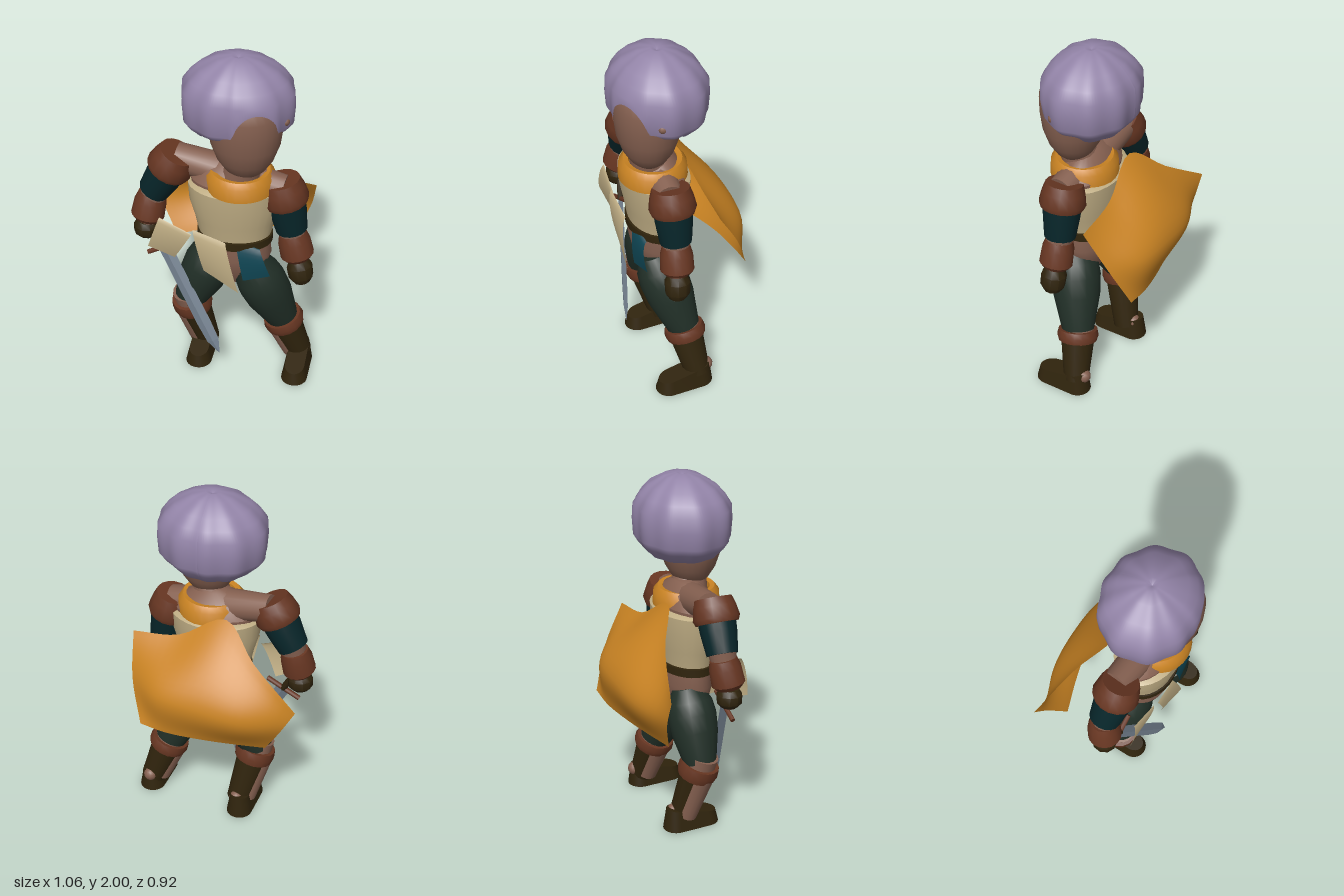
import * as THREE from 'three';
import { toCreasedNormals } from 'three/addons/utils/BufferGeometryUtils.js';

const mat = (name, color, side = THREE.FrontSide) => {
  const m = new THREE.MeshStandardMaterial({ color, side });
  m.name = name;
  return m;
};
const V = (p) => new THREE.Vector3(p[0], p[1], p[2]);

export function createModel() {
  const root = new THREE.Group();
  root.name = 'adventurer';
  const D = THREE.DoubleSide;
  const hairMat = mat('lilac hair', 0x9384a8, D), skin = mat('skin', 0x856050);
  const orange = mat('orange cloth', 0xc98323, D), cream = mat('cream cloth', 0xbfad84, D);
  const leather = mat('rust leather', 0x673622), boot = mat('dark boot leather', 0x30240d);
  const green = mat('green trousers', 0x212f27), sleeve = mat('dark teal sleeve', 0x072529);
  const tealCloth = mat('teal cloth', 0x0f4553, D), steel = mat('steel', 0x74818f);

  const add = (name, geometry, material, parent = root) => {
    const m = new THREE.Mesh(geometry, material);
    m.name = name;
    parent.add(m);
    return m;
  };
  // Turned shape from [radius, height] points, bottom to top
  const turned = (profile, seg = 20, crease = 0.7) =>
    toCreasedNormals(new THREE.LatheGeometry(profile.map((p) => new THREE.Vector2(p[0], p[1])), seg), crease);
  // Turned limb from a to b; profile heights run 0..1 along the axis
  const limb = (name, material, a, b, profile, seg = 16) => {
    const A = V(a), d = V(b).sub(A), len = d.length();
    const m = add(name, turned(profile.map(([r, t]) => [r, t * len]), seg), material);
    m.position.copy(A);
    m.quaternion.setFromUnitVectors(new THREE.Vector3(0, 1, 0), d.normalize());
    return m;
  };
  const rod = (r0, r1, mid = (r0 + r1) / 2) => [[0, 0], [r0, 0], [mid, 0.5], [r1, 1], [0, 1]];
  // Cloth surface through rows of points, optionally bulged outward
  const cloth = (name, material, rows, n = 12, bulge = 0) => {
    const curves = rows.map((r) => new THREE.CatmullRomCurve3(r.map(V)));
    const a = V(rows[0][0]), c = V(rows.at(-1)[0]).sub(a), normal = V(rows[0].at(-1)).sub(a).cross(c).normalize().negate();
    const pos = [], idx = [];
    for (let i = 0; i <= n; i++) {
      const column = new THREE.CatmullRomCurve3(curves.map((k) => k.getPoint(i / n)));
      for (let j = 0; j <= n; j++) {
        const p = column.getPoint(j / n).addScaledVector(normal, bulge * Math.sin(Math.PI * j / n));
        pos.push(p.x, p.y, p.z);
        if (i < n && j < n) {
          const k = i * (n + 1) + j;
          idx.push(k, k + 1, k + n + 1, k + 1, k + n + 2, k + n + 1);
        }
      }
    }
    const g = new THREE.BufferGeometry();
    g.setAttribute('position', new THREE.Float32BufferAttribute(pos, 3));
    g.setIndex(idx);
    g.computeVertexNormals();
    return add(name, g, material);
  };

  // Head
  const head = add('head', turned([[0, 1.365], [0.075, 1.37], [0.105, 1.4], [0.142, 1.46], [0.172, 1.55], [0.184, 1.65],
    [0.185, 1.74], [0.165, 1.82], [0.1, 1.88], [0, 1.9]], 28, 1), skin);
  head.position.set(0.235, 0, 0.04);
  head.rotation.y = Math.PI / 4;
  head.scale.set(1.05, 1, 0.94);
  limb('neck', skin, [0.18, 1.26, 0.04], [0.23, 1.42, 0.04], rod(0.12, 0.09));

  // Scalloped hair cap, slightly wider than deep, its rim arched over the face
  const hp = [[0.02, 1.55], [0.11, 1.555], [0.19, 1.565], [0.24, 1.62], [0.266, 1.66], [0.272, 1.75], [0.267, 1.83],
    [0.232, 1.885], [0.185, 1.935], [0.1, 1.985], [0.035, 2], [0, 1.985]];
  const radiusAt = (y) => {
    const i = hp.findIndex((p) => p[1] > y), [r0, y0] = hp[i - 1], [r1, y1] = hp[i];
    return r0 + (r1 - r0) * (y - y0) / (y1 - y0);
  };
  const hairGeo = new THREE.LatheGeometry(hp.map((p) => new THREE.Vector2(p[0], p[1])), 120, -2.36);
  const hpos = hairGeo.attributes.position;
  for (let i = 0; i < hpos.count; i++) {
    let y = hpos.getY(i), r = Math.hypot(hpos.getX(i), hpos.getZ(i));
    const a = Math.atan2(hpos.getZ(i), hpos.getX(i));
    const open = Math.sqrt(Math.max(0, 1 - ((a - 0.29) / 0.48) ** 2));
    const lift = 1.55 + 0.075 * THREE.MathUtils.smoothstep(Math.cos(a - 0.4), -0.1, 0.6);
    y = Math.max(y, lift);
    const rim = lift + 0.168 * open;
    if (y < rim) { y = rim; r = radiusAt(rim); }
    r *= (1 + 0.022 * Math.cos(10 * a) * (1 - open)) * (1 - 0.075 * Math.cos(2 * a - Math.PI / 2));
    hpos.setXYZ(i, r * Math.cos(a), y, r * Math.sin(a));
  }
  hairGeo.computeVertexNormals();
  add('hair', hairGeo, hairMat).position.set(0.145, 0, 0.02);
  // Patch of skin showing through the hair beside the face
  const patch = add('brow', new THREE.SphereGeometry(0.026, 10, 8), skin);
  patch.position.set(0.383, 1.695, -0.095);

  // Torso, turned halfway to its left
  const torso = new THREE.Group();
  torso.name = 'torso';
  torso.position.set(0.15, 0, 0.04);
  torso.rotation.y = Math.PI / 4;
  root.add(torso);
  const band = (name, material, profile, depth) => {
    const m = add(name, turned(profile, 28), material, torso);
    m.scale.z = depth;
    return m;
  };
  band('chest', skin, [[0, 1.15], [0.23, 1.2], [0.235, 1.28], [0.18, 1.35], [0.09, 1.4], [0, 1.41]], 0.6);
  band('vest', cream, [[0.17, 0.94], [0.197, 0.95], [0.215, 1.04], [0.245, 1.15], [0.252, 1.25], [0.22, 1.265], [0, 1.265]], 0.7);
  band('hips', skin, [[0, 0.61], [0.08, 0.62], [0.17, 0.72], [0.2, 0.82], [0.185, 0.95], [0, 0.97]], 0.66);
  band('belt', boot, [[0.18, 0.9], [0.205, 0.9], [0.205, 0.945], [0.18, 0.945]], 0.72);
  const collar = band('collar', orange, [[0.15, 1.245], [0.187, 1.255], [0.182, 1.33], [0.157, 1.36], [0.13, 1.355], [0.12, 1.29]], 0.98);
  collar.position.set(0.03, 0, 0.02);
  limb('shoulders', skin, [-0.1, 1.36, 0.24], [0.36, 1.26, -0.12], rod(0.075, 0.075, 0.09));

  // Arms: pad top, shoulder, elbow, wrist, hand
  const arms = [
    ['right', [-0.07, 1.4, 0.25], [-0.085, 1.35, 0.265], [-0.19, 1.12, 0.34], [-0.195, 0.95, 0.38], [-0.2, 0.85, 0.38]],
    ['left', [0.337, 1.305, -0.118], [0.35, 1.25, -0.13], [0.385, 0.98, -0.165], [0.42, 0.81, -0.185], [0.445, 0.67, -0.195]],
  ];
  for (const [side, top, sh, el, wr, hand] of arms) {
    const padEnd = V(sh).lerp(V(el), 0.3).toArray();
    limb(side + 'ShoulderPad', leather, top, padEnd, [[0, 0], [0.1, 0], [0.115, 0.35], [0.126, 0.8], [0.115, 1], [0, 1]]);
    limb(side + 'Sleeve', sleeve, sh, V(sh).lerp(V(el), 0.93).toArray(), rod(0.105, 0.085, 0.1));
    limb(side + 'Elbow', skin, V(sh).lerp(V(el), 0.85).toArray(), wr, rod(0.075, 0.055));
    limb(side + 'Bracer', leather, V(el).lerp(V(wr), 0.02).toArray(), V(el).lerp(V(wr), 0.95).toArray(),
      [[0, 0], [0.073, 0], [0.087, 0.3], [0.091, 0.85], [0.07, 1], [0, 1]]);
    limb(side + 'Hand', boot, wr, hand, [[0, 0], [0.05, 0], [0.07, 0.3], [0.068, 0.75], [0.045, 1], [0, 1]], 10);
    const tip = V(hand).sub(V(wr)).setLength(0.006).add(V(hand)).toArray();
    limb(side + 'Fingers', skin, hand, tip, rod(0.04, 0.036), 10);
  }

  // Legs: hip, knee, ankle, foot centre
  const legs = [
    ['right', [0.05, 0.8, 0.08], [-0.065, 0.41, 0.19], [-0.06, 0.06, 0.08], [-0.04, 0, 0.13]],
    ['left', [0.255, 0.77, 0.01], [0.3, 0.34, -0.18], [0.345, 0.06, -0.28], [0.4, 0, -0.22]],
  ];
  for (const [side, hip, knee, ankle, foot] of legs) {
    limb(side + 'Thigh', green, hip, knee, [[0, 0], [0.085, 0], [0.125, 0.18], [0.136, 0.35], [0.13, 0.58], [0.09, 1], [0, 1]], 20);
    const dir = V(ankle).sub(V(knee));
    const along = (t) => V(knee).addScaledVector(dir, t).toArray();
    limb(side + 'KneeSkin', skin, along(-0.15), along(0.2), rod(0.088, 0.09));
    limb(side + 'KneeCuff', leather, along(0), along(0.22), [[0.08, 0], [0.108, 0], [0.116, 0.5], [0.106, 1], [0.08, 1], [0.08, 0]]);
    limb(side + 'BootShaft', boot, along(0.12), ankle, rod(0.096, 0.07));
    const shift = (p) => [p[0] - 0.018, p[1], p[2] + 0.03];
    limb(side + 'Shin', skin, shift(along(0.12)), shift(along(0.95)), rod(0.078, 0.058));
    const heel = add(side + 'Ankle', new THREE.SphereGeometry(0.04, 12, 8), skin);
    heel.position.set(ankle[0] - 0.035, 0.1, ankle[2] - 0.035);

    // Rounded sole that slopes down to the toe
    const s = new THREE.Shape();
    s.absarc(0, 0.092, 0.073, 0, Math.PI);
    s.absarc(0, -0.092, 0.073, Math.PI, Math.PI * 2);
    const g = new THREE.ExtrudeGeometry(s, { depth: 0.13, bevelEnabled: false, curveSegments: 8 });
    g.rotateX(-Math.PI / 2);
    const p = g.attributes.position;
    for (let i = 0; i < p.count; i++) {
      if (p.getY(i) > 0.01) p.setXYZ(i, p.getX(i) * 0.75, 0.13 - 0.18 * (p.getZ(i) + 0.165), p.getZ(i) * 0.9);
    }
    const f = add(side + 'Foot', toCreasedNormals(g, 0.7), boot);
    f.position.set(...foot);
    f.rotation.y = Math.PI / 4 - 0.05;
  }

  // Hanging cloth flaps
  cloth('sideFlap', cream, [[[-0.04, 1.06, 0.4], [0.1, 0.985, 0.29]], [[-0.08, 0.87, 0.45], [0.01, 0.8, 0.34]]], 8, 0.015);
  cloth('frontFlap', cream, [[[0.12, 1.03, 0.295], [0.24, 0.96, 0.17]], [[0.16, 0.765, 0.255], [0.31, 0.65, 0.135]]], 8, 0.02);
  cloth('tealFlap', tealCloth, [[[0.25, 0.955, 0.11], [0.34, 0.91, 0.015]], [[0.305, 0.715, 0.1], [0.4, 0.755, -0.01]]], 8, 0.02);

  // Billowing cape
  cloth('cape', orange, [
    [[0.315, 1.15, -0.38], [0.12, 1.19, -0.2], [-0.05, 1.33, 0], [-0.27, 1.17, 0.05], [-0.53, 0.985, 0.16]],
    [[0.2, 0.93, -0.445], [-0.01, 0.93, -0.4], [-0.21, 0.92, -0.255], [-0.365, 0.88, -0.09], [-0.455, 0.82, 0.115]],
    [[0.08, 0.7, -0.46], [-0.03, 0.68, -0.36], [-0.15, 0.67, -0.22], [-0.25, 0.655, -0.07], [-0.34, 0.635, 0.09]],
  ], 20);

  // Sword in the right hand
  const sword = new THREE.Group();
  sword.name = 'sword';
  const base = V([-0.1, 0.8, 0.33]);
  const axis = V([0.215, 0.18, 0.19]).sub(base).normalize();
  const across = V([0.135, 0.1, -0.13]).addScaledVector(axis, -V([0.135, 0.1, -0.13]).dot(axis)).normalize();
  sword.quaternion.setFromRotationMatrix(new THREE.Matrix4().makeBasis(across, axis, across.clone().cross(axis)));
  sword.position.copy(base);
  root.add(sword);
  add('blade', turned([[0, 0], [0.038, 0], [0.042, 0.5], [0.036, 0.62], [0, 0.71]], 4, 0.2), steel, sword).scale.z = 0.3;
  add('guard', new THREE.CylinderGeometry(0.014, 0.014, 0.21, 8), leather, sword).rotation.z = Math.PI / 2;
  add('grip', new THREE.CylinderGeometry(0.018, 0.018, 0.19, 8), boot, sword).position.y = -0.09;

  return root;
}
